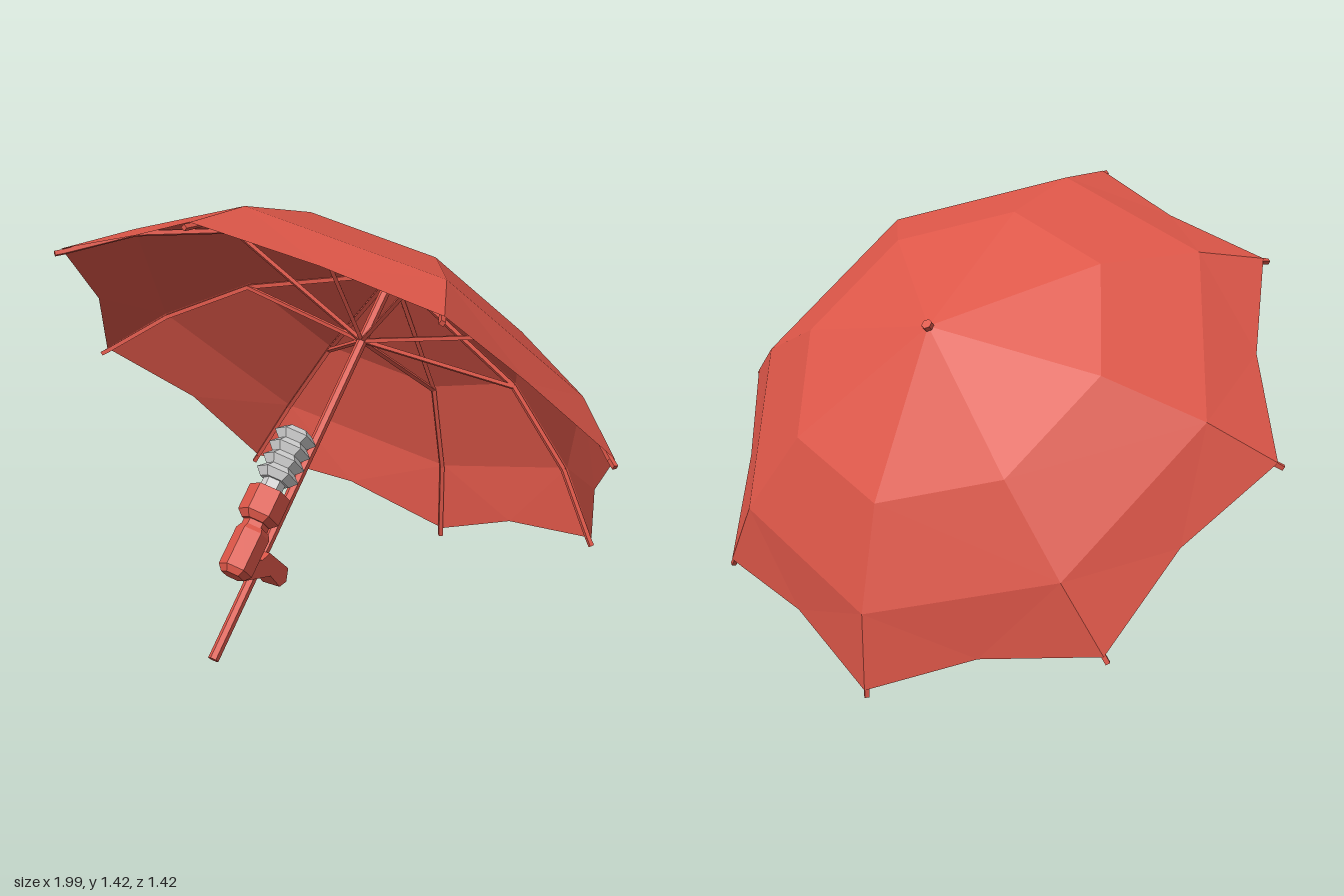
import * as THREE from 'three';

const red = new THREE.MeshStandardMaterial({ color: 0xdc5648, flatShading: true, side: THREE.DoubleSide });
red.name = 'red';
const grey = new THREE.MeshStandardMaterial({ color: 0xd0d0d0, flatShading: true });
grey.name = 'light grey';

const RIBS = 8;
const V = (x, y, z) => new THREE.Vector3(x, y, z);
// point at a radius, height and angle around the umbrella's axis
const polar = (r, y, a) => V(r * Math.sin(a), y, r * Math.cos(a));

function add(parent, name, geometry, material) {
  const mesh = new THREE.Mesh(geometry, material);
  mesh.name = name;
  parent.add(mesh);
  return mesh;
}

// straight rod between two points
function rod(parent, name, a, b, radius, sides = 4) {
  const mesh = add(parent, name, new THREE.CylinderGeometry(radius, radius, a.distanceTo(b), sides), red);
  mesh.position.lerpVectors(a, b, 0.5);
  mesh.quaternion.setFromUnitVectors(V(0, 1, 0), b.clone().sub(a).normalize());
  return mesh;
}

// six-sided turned part, profile listed from bottom to top
function turned(parent, name, profile, material, z) {
  const points = profile.map(([r, y]) => new THREE.Vector2(r, y));
  add(parent, name, new THREE.LatheGeometry(points, 6), material).position.z = z;
}

// eight flat-panelled segments with a scalloped rim
function canopyGeometry() {
  const rings = [[0, 0], [0.532, -0.138], [0.81, -0.314], [0.98, -0.49]];
  const pos = [];
  const tri = (...pts) => pts.forEach((p) => pos.push(p.x, p.y, p.z));
  for (let i = 0; i < RIBS; i++) {
    const a = (i / RIBS) * Math.PI * 2;
    const b = ((i + 1) / RIBS) * Math.PI * 2;
    const L = rings.map(([r, y]) => polar(r, y, a));
    const R = rings.map(([r, y]) => polar(r, y, b));
    const mid = polar(0.87, -0.463, (a + b) / 2);
    tri(L[0], L[1], R[1]);
    tri(L[1], L[2], R[2]);
    tri(L[1], R[2], R[1]);
    tri(L[2], L[3], mid);
    tri(L[2], mid, R[2]);
    tri(R[2], mid, R[3]);
  }
  const g = new THREE.BufferGeometry();
  g.setAttribute('position', new THREE.Float32BufferAttribute(pos, 3));
  g.computeVertexNormals();
  return g;
}

export function createModel() {
  const model = new THREE.Group();
  model.name = 'umbrella';

  // everything is built upright with the canopy peak at the origin, then tilted
  const tilt = new THREE.Group();
  tilt.name = 'tiltedUmbrella';
  tilt.position.set(0, 1.063, -0.35);
  tilt.rotation.x = -Math.PI / 4;
  model.add(tilt);

  add(tilt, 'canopy', canopyGeometry(), red);
  rod(tilt, 'shaft', V(0, -1.41, -0.012), V(0, 0.012, 0), 0.017, 6);

  // ribs below the cloth, with stretchers running down to the shaft
  const ribPath = [[0.01, -0.014], [0.527, -0.152], [0.8, -0.326], [0.968, -0.495], [0.99, -0.515]];
  for (let i = 0; i < RIBS; i++) {
    const a = (i / RIBS) * Math.PI * 2;
    const pts = ribPath.map(([r, y]) => polar(r, y, a));
    const rib = new THREE.Group();
    rib.name = 'rib';
    tilt.add(rib);
    for (let k = 0; k < pts.length - 1; k++) rod(rib, 'ribSection', pts[k], pts[k + 1], 0.01);
    rod(rib, 'stretcher', polar(0.01, -0.27, a), polar(0.527, -0.155, a), 0.009);
  }

  // ridged screw above the grip
  const screw = [[0, -0.9], [0.036, -0.9], [0.036, -0.85]];
  for (let i = 0; i < 4; i++) {
    const y = -0.85 + i * 0.045;
    screw.push([0.048, y], [0.07, y + 0.024]);
  }
  screw.push([0.046, -0.67], [0, -0.67]);
  turned(tilt, 'screw', screw, grey, 0.1);

  // grip: collar, neck and body
  turned(tilt, 'gripCollar', [
    [0, -0.992], [0.046, -0.992], [0.068, -0.972], [0.068, -0.885], [0, -0.885],
  ], red, 0.096);
  turned(tilt, 'gripNeck', [[0.042, -1.02], [0.042, -0.98]], red, 0.09);
  turned(tilt, 'gripBody', [
    [0, -1.17], [0.038, -1.17], [0.055, -1.15], [0.055, -1.025], [0.046, -1.008], [0, -1.008],
  ], red, 0.085);

  // clamp foot hooking round the shaft, outlined as [z, y]
  const outline = [
    [0.067, -1.17], [-0.008, -1.126], [-0.052, -1.099], [-0.122, -1.105], [-0.144, -1.077],
    [-0.122, -1.04], [0.003, -1.045], [0.025, -1.08], [0.06, -1.09],
  ];
  const shape = new THREE.Shape(outline.map(([z, y]) => new THREE.Vector2(-z, y)));
  const footGeo = new THREE.ExtrudeGeometry(shape, { depth: 0.066, bevelEnabled: false });
  footGeo.translate(0, 0, -0.033);
  footGeo.rotateY(Math.PI / 2);
  add(tilt, 'clampFoot', footGeo, red);

  return model;
}
